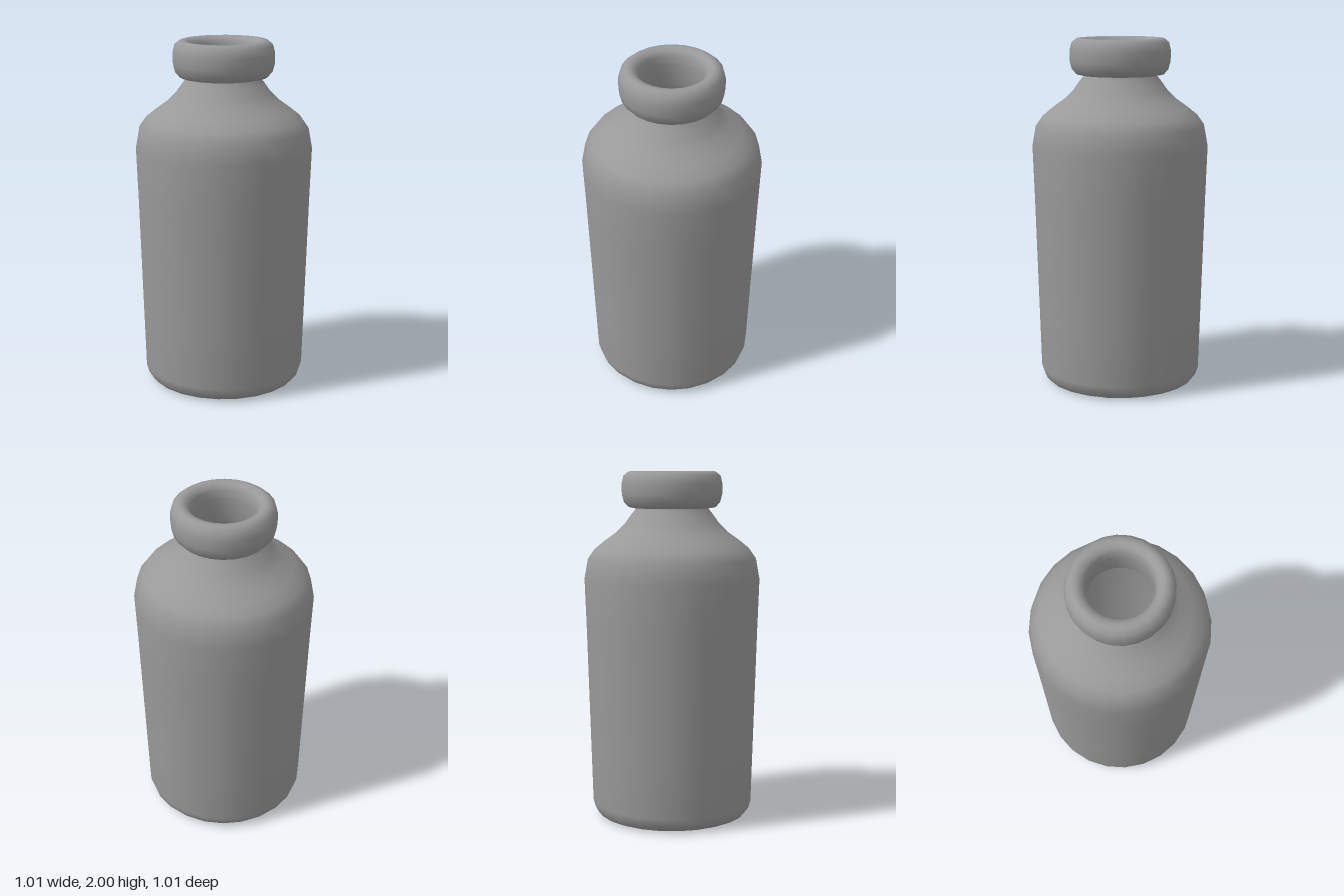
import * as THREE from 'three';

const SEGMENTS = 24;

export function createModel() {
  const group = new THREE.Group();
  group.name = 'bottle';
  const grey = new THREE.MeshStandardMaterial({ color: 0x999999 });
  grey.name = 'grey';

  // Turns a [radius, height] profile around the y axis
  const turn = (name, profile) => {
    const points = profile.map(([r, y]) => new THREE.Vector2(r, y));
    const mesh = new THREE.Mesh(new THREE.LatheGeometry(points, SEGMENTS), grey);
    mesh.name = name;
    group.add(mesh);
  };

  // Recessed base, tapered body, shoulder and neck
  turn('body', [
    [0, 0.03], [0.31, 0.03], [0.345, 0.02], [0.37, 0.004], [0.4, 0], [0.43, 0.012],
    [0.453, 0.04], [0.466, 0.085], [0.475, 0.4], [0.495, 1.1], [0.505, 1.39],
    [0.484, 1.505], [0.445, 1.56], [0.39, 1.605], [0.32, 1.655], [0.27, 1.705],
    [0.235, 1.755], [0.21, 1.785], [0.208, 1.8],
  ]);

  // Rounded lip, rolling over into the mouth
  turn('lip', [
    [0.205, 1.797], [0.225, 1.792], [0.25, 1.797], [0.276, 1.825], [0.288, 1.87],
    [0.289, 1.93], [0.278, 1.975], [0.25, 1.998], [0.225, 2], [0.198, 1.988],
    [0.183, 1.962], [0.18, 1.92],
  ]);

  // Hollow inside, from the mouth down to the floor
  turn('interior', [
    [0.18, 1.92], [0.18, 1.78], [0.235, 1.69], [0.36, 1.58], [0.445, 1.49],
    [0.465, 1.39], [0.43, 0.12], [0.39, 0.07], [0, 0.07],
  ]);

  return group;
}
